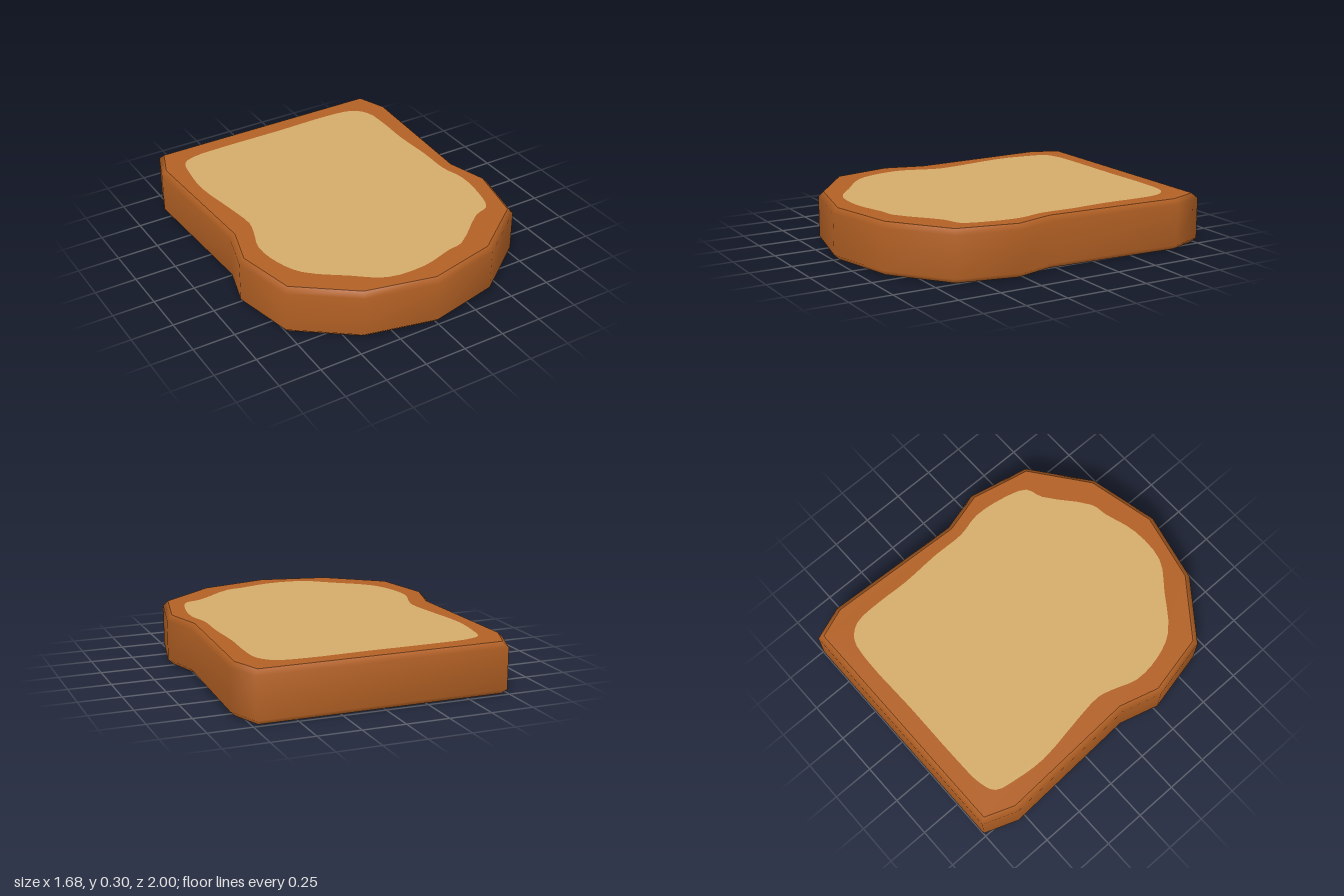
import * as THREE from 'three';

const HEIGHT = 0.3;
const BEVEL = 0.03;

// Right half of the crust outline as [x, z], from the domed front to the flat back
const HALF = [[0, 0.995], [0.42, 0.9], [0.76, 0.64], [0.84, 0.27], [0.772, 0.03], [0.81, -0.8], [0.735, -1]];
const OUTLINE = [...HALF, ...HALF.slice(1).reverse().map(([x, z]) => [-x, z])];

// Wavy edge of the crumb as [x, z]
const CRUMB = [
  [-0.55, -0.86], [-0.38, -0.87], [0.05, -0.87], [0.43, -0.875], [0.58, -0.85], [0.65, -0.77],
  [0.665, -0.6], [0.66, -0.4], [0.675, -0.15], [0.675, 0.05], [0.71, 0.2], [0.69, 0.4],
  [0.64, 0.54], [0.54, 0.58], [0.3, 0.77], [0.2, 0.79], [0, 0.845], [-0.23, 0.83],
  [-0.4, 0.71], [-0.6, 0.55], [-0.67, 0.4], [-0.69, 0.22], [-0.645, 0.08], [-0.62, -0.02],
  [-0.64, -0.2], [-0.685, -0.5], [-0.67, -0.7], [-0.64, -0.82],
];

// Moves every side of a closed outline inward by d
function inset(points, d) {
  const n = points.length;
  const normal = (a, b) => {
    const dx = b[0] - a[0], dz = b[1] - a[1], l = Math.hypot(dx, dz);
    return [dz / l, -dx / l];
  };
  return points.map((p, i) => {
    const n1 = normal(points[(i + n - 1) % n], p);
    const n2 = normal(p, points[(i + 1) % n]);
    const k = d / (1 + n1[0] * n2[0] + n1[1] * n2[1]);
    return [p[0] + k * (n1[0] + n2[0]), p[1] + k * (n1[1] + n2[1])];
  });
}

// Smooth wall with bevelled rims, lofted from rings of [y, inset]
function wallGeometry(rings) {
  const n = OUTLINE.length, positions = [], index = [];
  rings.forEach(([y, d]) => inset(OUTLINE, d).forEach(([x, z]) => positions.push(x, y, z)));
  for (let r = 0; r < rings.length - 1; r++) {
    for (let i = 0; i < n; i++) {
      const a = r * n + i, b = r * n + (i + 1) % n;
      index.push(a, b, b + n, a, b + n, a + n);
    }
  }
  const geometry = new THREE.BufferGeometry();
  geometry.setAttribute('position', new THREE.Float32BufferAttribute(positions, 3));
  geometry.setIndex(index);
  geometry.computeVertexNormals();
  return geometry;
}

// Flat face lying on the top (side = 1) or the underside (side = -1)
function faceGeometry(outer, hole, side) {
  const toPoints = list => list.map(([x, z]) => new THREE.Vector2(x, -side * z));
  const shape = new THREE.Shape(toPoints(outer));
  if (hole) shape.holes.push(new THREE.Path(toPoints(hole)));
  const geometry = new THREE.ShapeGeometry(shape);
  geometry.rotateX(-side * Math.PI / 2);
  geometry.translate(0, side > 0 ? HEIGHT : 0, 0);
  return geometry;
}

export function createModel() {
  const crust = new THREE.MeshStandardMaterial({ color: 0xb26024 });
  crust.name = 'crust brown';
  const crumb = new THREE.MeshStandardMaterial({ color: 0xd4ac6a });
  crumb.name = 'crumb tan';

  const model = new THREE.Group();
  model.name = 'breadSlice';
  const add = (name, geometry, material) => {
    const mesh = new THREE.Mesh(geometry, material);
    mesh.name = name;
    model.add(mesh);
  };

  // Crust around the slice
  add('crustWall', wallGeometry([[0, BEVEL], [BEVEL, 0], [HEIGHT - BEVEL, 0], [HEIGHT, BEVEL]]), crust);

  // Crust border and crumb on both faces
  const curve = new THREE.CatmullRomCurve3(CRUMB.map(([x, z]) => new THREE.Vector3(x, 0, z)), true);
  const crumbEdge = curve.getPoints(84).slice(0, -1).map(p => [p.x, p.z]);
  const rim = inset(OUTLINE, BEVEL);
  for (const [label, side] of [['top', 1], ['bottom', -1]]) {
    add(label + 'CrustBorder', faceGeometry(rim, crumbEdge, side), crust);
    add(label + 'Crumb', faceGeometry(crumbEdge, null, side), crumb);
  }
  return model;
}
